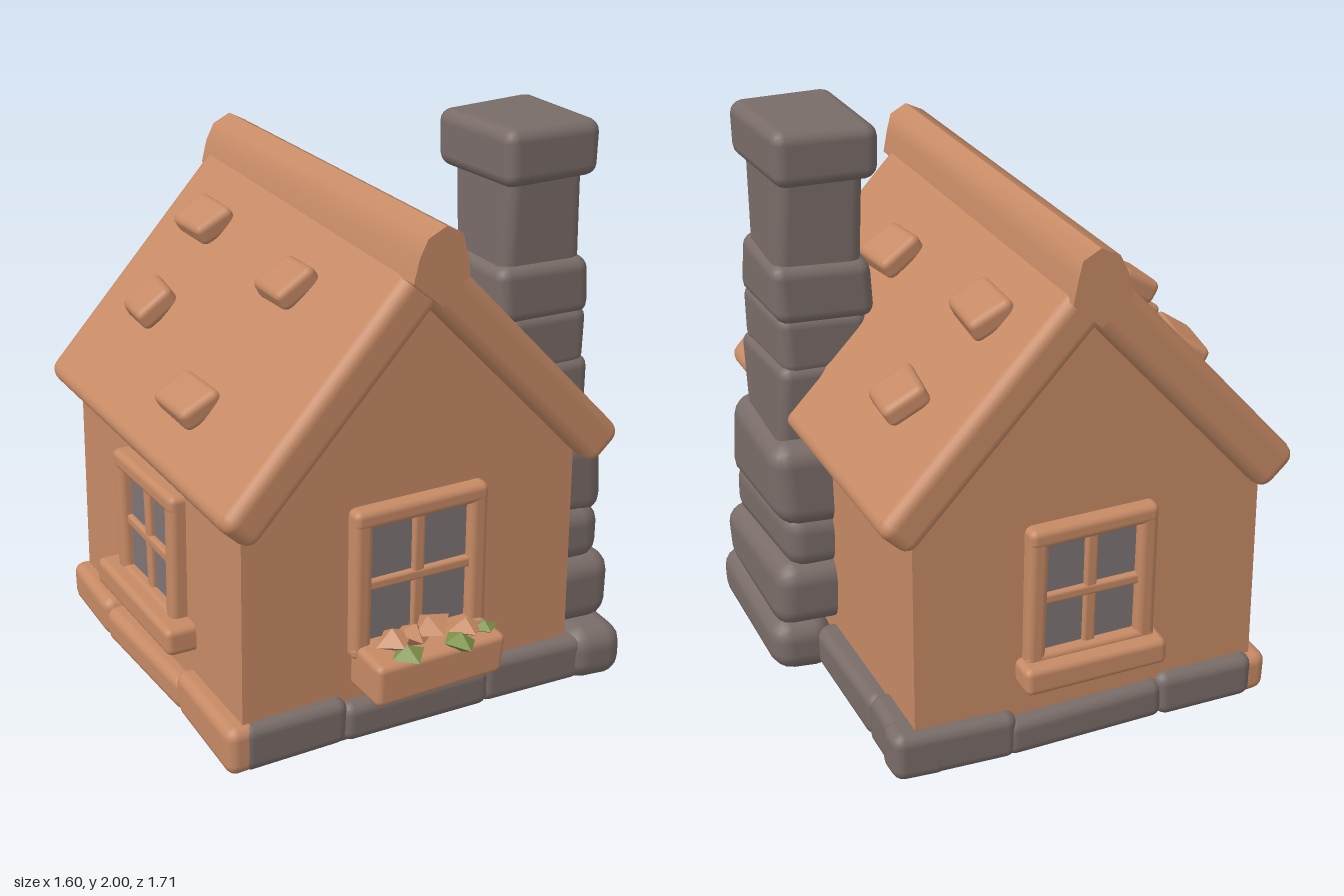
import * as THREE from 'three';
import { RoundedBoxGeometry } from 'three/addons/geometries/RoundedBoxGeometry.js';
import { toCreasedNormals } from 'three/addons/utils/BufferGeometryUtils.js';

const mat = (name, color) => Object.assign(new THREE.MeshStandardMaterial({ color }), { name });

export function createModel() {
  const clay = mat('clay', 0xc68a65);
  const stone = mat('stone', 0x796c68);
  const glass = mat('glass', 0x7e7475);
  const leafGreen = mat('leaf green', 0x7d9149);
  const house = new THREE.Group();
  house.name = 'cottage';

  const add = (parent, name, geometry, material) => {
    const mesh = new THREE.Mesh(geometry, material);
    mesh.name = name;
    parent.add(mesh);
    return mesh;
  };

  // Gives every block a slightly hand-modelled, uneven outline
  const wobble = (g, a) => {
    const p = g.attributes.position;
    for (let i = 0; i < p.count; i++) {
      const x = p.getX(i), y = p.getY(i), z = p.getZ(i);
      p.setXYZ(i,
        x + a * Math.sin(9 * y + 7 * z),
        Math.max(0, y + a * Math.sin(8 * x + 6 * z + 1)),
        z + a * Math.sin(7 * x + 9 * y + 2));
    }
    return g;
  };

  // Rounded block given by its extents
  const block = (parent, name, [x0, x1], [y0, y1], [z0, z1], material, r = 0.03, a = 0.006) => {
    const w = x1 - x0, h = y1 - y0, d = z1 - z0;
    const g = new RoundedBoxGeometry(w, h, d, 2, Math.min(r, 0.45 * Math.min(w, h, d)));
    g.translate((x0 + x1) / 2, (y0 + y1) / 2, (z0 + z1) / 2);
    return add(parent, name, wobble(g, a), material);
  };

  const extrude = (points, z0, z1) => {
    const shape = new THREE.Shape(points.map(([x, y]) => new THREE.Vector2(x, y)));
    const g = new THREE.ExtrudeGeometry(shape, { depth: z1 - z0, bevelEnabled: false });
    return g.translate(0, 0, z0);
  };

  // Walls with gable ends
  add(house, 'walls', extrude(
    [[-0.7, 0.08], [0.56, 0.08], [0.56, 1.0], [-0.03, 1.6], [-0.69, 0.95]], -0.755, 0.6), clay);

  // Foundation: stone all round, clay along the right-hand side
  block(house, 'foundationFloor', [-0.7, 0.6], [0, 0.12], [-0.76, 0.61], stone);
  [[-0.71, -0.32, 0.18], [-0.34, 0.24, 0.155], [0.21, 0.62, 0.18]].forEach(([x0, x1, h]) =>
    block(house, 'frontStone', [x0, x1], [0.01, h], [0.5, 0.645], stone, 0.04));
  [[-0.7, -0.33, 0.17], [-0.35, 0.24, 0.15], [0.2, 0.64, 0.18]].forEach(([x0, x1, h]) =>
    block(house, 'backStone', [x0, x1], [0.01, h], [-0.8, -0.66], stone, 0.04));
  [[-0.8, -0.5, 0.18], [-0.52, 0.02, 0.165]].forEach(([z0, z1, h]) =>
    block(house, 'leftStone', [0.45, 0.63], [0.01, h], [z0, z1], stone, 0.04));
  [[-0.79, -0.42, 0.16], [-0.44, 0.2, 0.14], [0.18, 0.64, 0.18]].forEach(([z0, z1, h]) =>
    block(house, 'rightSill', [-0.76, -0.6], [0.01, h], [z0, z1], clay, 0.04));

  // Roof slopes: outer top line from a to b, thickness measured inward
  const slope = (name, a, b, thick, z0, z1, r) => {
    const dx = b[0] - a[0], dy = b[1] - a[1], len = Math.hypot(dx, dy);
    const side = Math.sign(dx);
    const nx = -dy / len * side, ny = dx / len * side;
    const g = new RoundedBoxGeometry(len, thick, z1 - z0, 2, r);
    g.rotateZ(Math.atan2(dy * side, dx * side));
    g.translate((a[0] + b[0]) / 2 - nx * thick / 2, (a[1] + b[1]) / 2 - ny * thick / 2, (z0 + z1) / 2);
    add(house, name, wobble(g, 0.007), clay);
  };
  [[[-0.06, 1.75], [-0.8, 0.94]], [[-0.02, 1.74], [0.7, 0.97]]].forEach(([a, b]) => {
    slope('roofSlope', a, b, 0.12, -0.81, 0.67, 0.04);
    slope('frontRake', a, b, 0.16, 0.57, 0.69, 0.045);
    slope('backRake', a, b, 0.16, -0.83, -0.71, 0.045);
  });

  // Ridge beam
  add(house, 'ridgeBeam', toCreasedNormals(extrude(
    [[-0.145, 1.64], [-0.04, 1.55], [0.06, 1.64], [0.045, 1.72], [0.03, 1.78], [-0.03, 1.812], [-0.095, 1.78], [-0.125, 1.72]],
    -0.845, 0.72), 0.9), clay);

  // Raised roof tiles: x, y, z
  [[-0.31, 1.51, 0.16], [-0.29, 1.53, -0.5], [-0.53, 1.27, -0.47], [-0.64, 1.14, 0.12],
    [0.22, 1.53, -0.5], [0.47, 1.25, -0.46], [0.25, 1.5, 0.16]].forEach(([x, y, z], i) => {
    const g = new RoundedBoxGeometry(0.16, 0.08, 0.21, 2, 0.025);
    g.rotateZ(x < 0 ? 0.5 : -0.5).rotateY(0.12 * Math.sin(i * 2.3)).translate(x, y, z);
    add(house, 'roofTile', wobble(g, 0.012), clay);
  });

  // Chimney courses from the ground up: x, y and z extents
  [
    [[0.56, 0.79], [0, 0.2], [-0.04, 0.66]],
    [[0.45, 0.78], [0.19, 0.44], [-0.045, 0.575]],
    [[0.45, 0.74], [0.41, 0.63], [-0.02, 0.55]],
    [[0.45, 0.76], [0.58, 0.89], [-0.03, 0.53]],
    [[0.4, 0.715], [0.84, 1.16], [0.05, 0.465]],
    [[0.38, 0.7], [1.12, 1.34], [0.06, 0.455]],
    [[0.355, 0.705], [1.31, 1.52], [0.05, 0.455]],
    [[0.38, 0.685], [1.47, 1.85], [0.075, 0.425]],
    [[0.34, 0.71], [1.8, 1.995], [0.03, 0.475]],
  ].forEach((e, i) => block(house, i === 8 ? 'chimneyCap' : 'chimneyCourse', ...e, stone, i < 4 ? 0.075 : 0.045, 0.009));

  // Window built facing +z, standing on the wall at z = 0
  const windowUnit = (name, hw, y0, y1, sillHalf) => {
    const w = new THREE.Group();
    w.name = name;
    const f = 0.07, cy = (y0 + y1) / 2;
    add(w, 'pane', new THREE.BoxGeometry(2 * hw - f, y1 - y0 - f, 0.008).translate(0, cy, 0.008), glass);
    [-1, 1].forEach((s) => {
      const c = s * (hw - f / 2);
      block(w, 'frameSide', [c - f / 2, c + f / 2], [y0, y1], [-0.03, 0.05], clay, 0.025, 0.004);
    });
    block(w, 'frameTop', [-hw, hw], [y1 - f, y1], [-0.03, 0.052], clay, 0.025, 0.004);
    block(w, 'frameBottom', [-hw, hw], [y0, y0 + 0.05], [-0.03, 0.05], clay, 0.02, 0.004);
    block(w, 'muntinUpright', [-0.025, 0.02], [y0, y1 - 0.03], [-0.01, 0.032], clay, 0.012, 0.005);
    block(w, 'muntinCross', [-hw + 0.03, hw - 0.03], [cy - 0.035, cy + 0.005], [-0.01, 0.032], clay, 0.012, 0.005);
    if (sillHalf) block(w, 'sill', [-sillHalf, sillHalf], [0.27, 0.37], [-0.03, 0.1], clay, 0.025, 0.005);
    house.add(w);
    return w;
  };
  windowUnit('frontWindow', 0.255, 0.33, 0.87, 0).position.set(-0.055, 0, 0.6);
  const back = windowUnit('backWindow', 0.235, 0.34, 0.86, 0.26);
  back.rotation.y = Math.PI;
  back.position.set(-0.06, 0, -0.755);
  const side = windowUnit('rightWindow', 0.25, 0.33, 0.82, 0.32);
  side.rotation.y = -Math.PI / 2;
  side.position.set(-0.7, 0, -0.08);

  // Flower box with flared front
  const planter = new THREE.Group();
  planter.name = 'flowerBox';
  house.add(planter);
  const box = new RoundedBoxGeometry(0.49, 0.16, 0.2, 2, 0.025);
  const bp = box.attributes.position;
  for (let i = 0; i < bp.count; i++) if (bp.getZ(i) > 0) bp.setZ(i, bp.getZ(i) + bp.getY(i) * 0.15);
  add(planter, 'planterBox', wobble(box.translate(-0.06, 0.295, 0.69), 0.006), clay);

  // Blossoms and leaves as small faceted shapes: x, y, z, width, height, depth, tilt
  const bud = (name, material, [x, y, z, w, h, d, tilt]) => {
    const g = toCreasedNormals(new THREE.OctahedronGeometry(0.5, 0), 0.2);
    g.scale(w, h, d).rotateZ(tilt).translate(x, y, z);
    add(planter, name, g, material);
  };
  [[-0.2, 0.42, 0.72, 0.14, 0.09, 0.14, 0.2], [-0.07, 0.45, 0.74, 0.14, 0.09, 0.16, 0.4],
    [-0.13, 0.42, 0.72, 0.14, 0.08, 0.14, -0.3], [0.08, 0.39, 0.71, 0.14, 0.07, 0.13, 0]].forEach((b) => bud('blossom', clay, b));
  [[-0.175, 0.385, 0.77, 0.12, 0.07, 0.15, 0.15], [0.015, 0.385, 0.78, 0.12, 0.07, 0.15, -0.15],
    [0.14, 0.385, 0.73, 0.1, 0.05, 0.09, 0]].forEach((b) => bud('leaf', leafGreen, b));

  return house;
}
